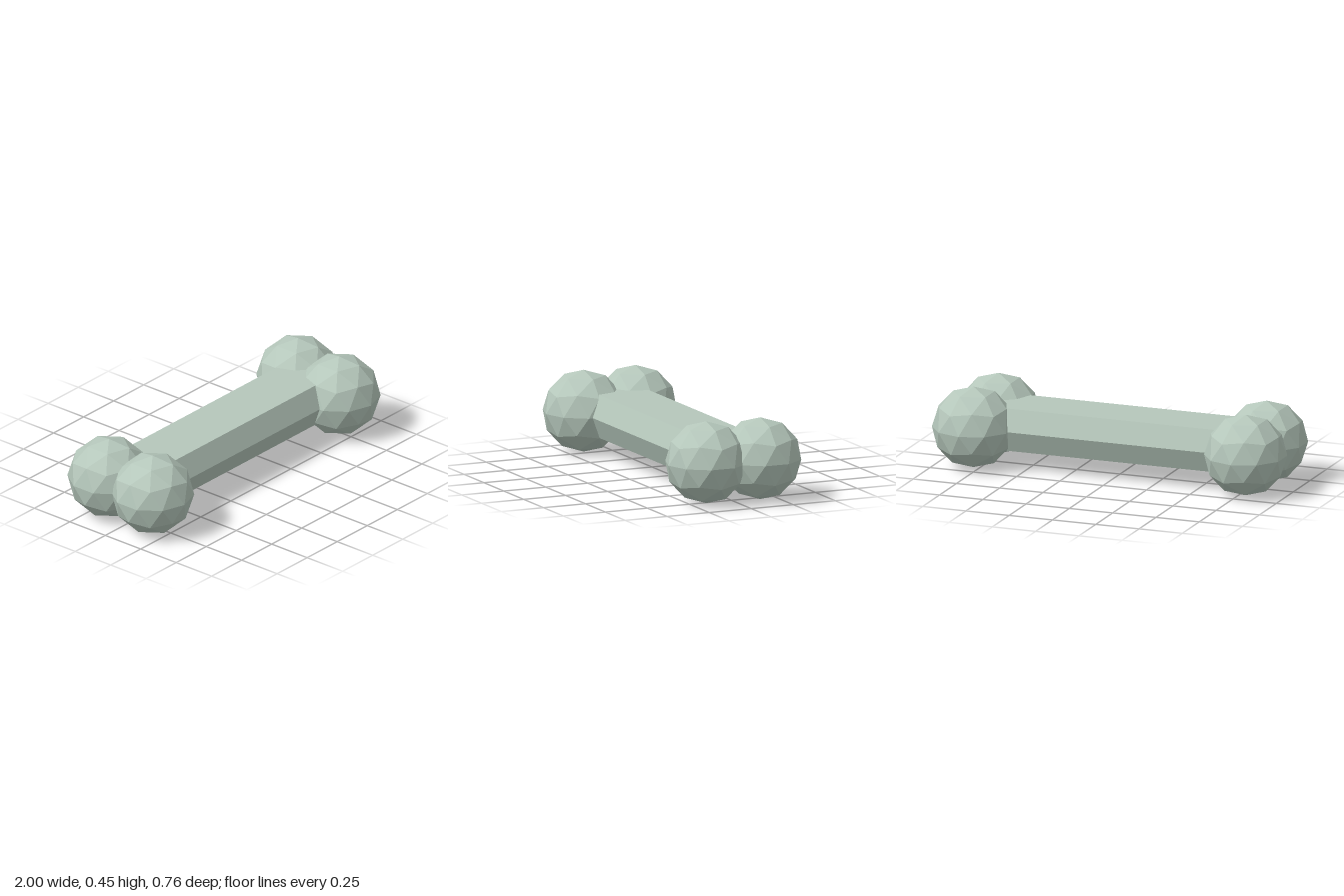
import * as THREE from 'three';

export function createModel() {
  const model = new THREE.Group();
  model.name = 'bone';
  const boneMaterial = new THREE.MeshStandardMaterial({ color: 0xb5c7bb, flatShading: true });
  boneMaterial.name = 'pale sage';

  // Shaft: flattened hexagonal prism running along x
  const midY = 0.229, halfHeight = 0.118, length = 1.5;
  const section = new THREE.Shape([
    [-0.2, 0], [-0.149, -halfHeight], [0.149, -halfHeight],
    [0.2, 0], [0.149, halfHeight], [-0.149, halfHeight],
  ].map(([x, y]) => new THREE.Vector2(x, y)));
  const shaftGeometry = new THREE.ExtrudeGeometry(section, { depth: length, bevelEnabled: false });
  shaftGeometry.translate(0, midY, -length / 2).rotateY(Math.PI / 2);
  const shaft = new THREE.Mesh(shaftGeometry, boneMaterial);
  shaft.name = 'shaft';
  model.add(shaft);

  // Knobs: faceted balls turned so that a corner points straight up
  const radius = 0.2245;
  const knobGeometry = new THREE.IcosahedronGeometry(radius, 1);
  knobGeometry.rotateZ(-Math.atan(2 / (1 + Math.sqrt(5))));
  knobGeometry.computeVertexNormals();

  const knobs = [
    ['frontLeftKnob', 0.762, 0.155],
    ['backLeftKnob', 0.786, -0.155],
    ['frontRightKnob', -0.786, 0.153],
    ['backRightKnob', -0.786, -0.155],
  ];
  for (const [name, x, z] of knobs) {
    const knob = new THREE.Mesh(knobGeometry, boneMaterial);
    knob.name = name;
    knob.position.set(x, 0.227, z);
    model.add(knob);
  }

  return model;
}
